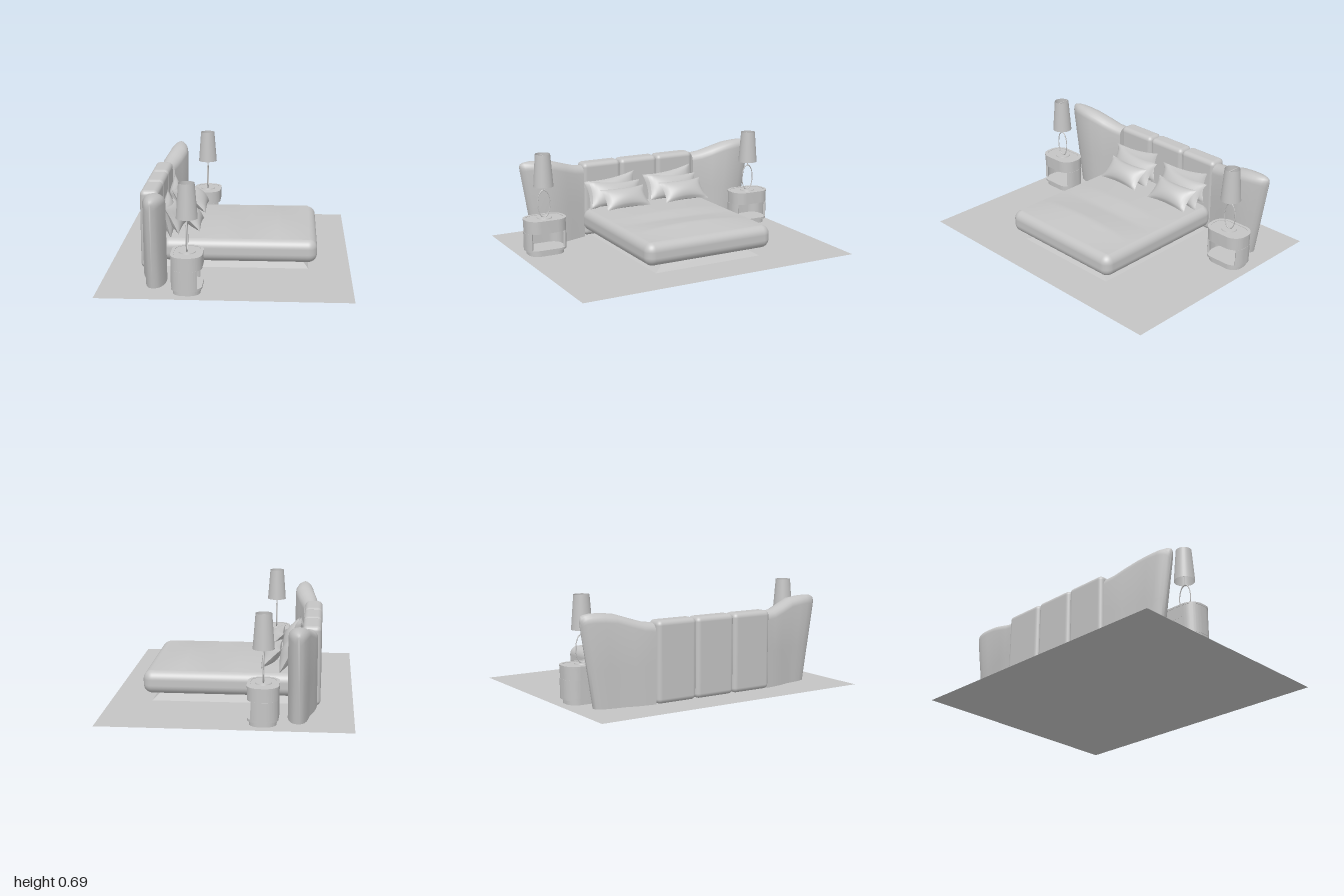
import * as THREE from 'three';
import { toCreasedNormals } from 'three/addons/utils/BufferGeometryUtils.js';
import { RoundedBoxGeometry } from 'three/addons/geometries/RoundedBoxGeometry.js';

const grey = new THREE.MeshStandardMaterial({ color: 0xc4c4c4, side: THREE.DoubleSide });
grey.name = 'plain grey';

function add(parent, name, geometry, x = 0, y = 0, z = 0) {
  const mesh = new THREE.Mesh(geometry, grey);
  mesh.name = name;
  mesh.position.set(x, y, z);
  parent.add(mesh);
  return mesh;
}

function group(parent, name, x = 0, y = 0, z = 0) {
  const g = new THREE.Group();
  g.name = name;
  g.position.set(x, y, z);
  parent.add(g);
  return g;
}

// Linear interpolation through [position, value] pairs
function lerpKeys(keys, p) {
  for (let i = 1; i < keys.length; i++) {
    const [a, va] = keys[i - 1], [b, vb] = keys[i];
    if (p <= b) return va + (vb - va) * Math.max(0, (p - a) / (b - a));
  }
  return keys[keys.length - 1][1];
}

// Skin over closed rings of equal length, with both ends capped
function loft(rings) {
  const n = rings[0].length, pos = [], idx = [];
  rings.forEach(r => r.forEach(p => pos.push(...p)));
  for (let i = 0; i < rings.length - 1; i++) {
    for (let j = 0; j < n; j++) {
      const a = i * n + j, b = i * n + (j + 1) % n;
      idx.push(a, a + n, b, b, a + n, b + n);
    }
  }
  const last = (rings.length - 1) * n;
  for (let j = 1; j < n - 1; j++) {
    idx.push(0, j, j + 1, last, last + j + 1, last + j);
  }
  const g = new THREE.BufferGeometry();
  g.setAttribute('position', new THREE.Float32BufferAttribute(pos, 3));
  g.setIndex(idx);
  return toCreasedNormals(g, 0.9);
}

// Side wing of the headboard, sweeping forward and up to a rounded tip
function wingGeometry() {
  // z, centre x, half thickness, height
  const stations = [
    [0.445, -0.507, 0.056, 0.515], [0.52, -0.495, 0.061, 0.525], [0.60, -0.478, 0.067, 0.55],
    [0.70, -0.453, 0.069, 0.583], [0.78, -0.449, 0.065, 0.592], [0.85, -0.449, 0.055, 0.595],
    [0.90, -0.45, 0.04, 0.59], [0.922, -0.451, 0.026, 0.58], [0.932, -0.452, 0.008, 0.565]];
  return loft(stations.map(([z, xc, h, top]) => {
    const ring = [];
    const put = (x, y) => ring.push([x, y, 0.445 + (z - 0.445) * (1 - 0.2 * (1 - y / 0.595))]);
    put(xc - h, 0);
    put(xc - h, 0.25);
    for (let k = 0; k <= 10; k++) {
      const a = Math.PI * (1 - k / 10);
      put(xc + h * Math.cos(a), top - 0.055 + 0.055 * Math.sin(a));
    }
    put(xc + h, 0.25);
    put(xc + h, 0);
    return ring;
  }));
}

// Cushion with pinched corners; the width runs along z and it faces +x
function pillowGeometry(halfW, halfH, depth, roll) {
  const g = new THREE.BoxGeometry(2, 2, 2, 18, 18, 1);
  const p = g.attributes.position;
  for (let i = 0; i < p.count; i++) {
    const u = p.getX(i), v = p.getY(i);
    const puff = Math.pow(Math.max(0, (1 - u * u) * (1 - v * v)), 0.6);
    p.setXYZ(i, halfW * u * (1 - 0.1 * (1 - v * v)), halfH * v * (1 - 0.16 * (1 - u * u)),
      Math.sign(p.getZ(i)) * depth * puff);
  }
  g.rotateZ(roll);
  g.rotateY(Math.PI / 2);
  g.computeVertexNormals();
  return g;
}

// Rounded rectangle in plan
function oval(target, w, d, r) {
  target.absarc(w - r, d - r, r, 0, Math.PI / 2);
  target.absarc(r - w, d - r, r, Math.PI / 2, Math.PI);
  target.absarc(r - w, r - d, r, Math.PI, Math.PI * 1.5);
  target.absarc(w - r, r - d, r, Math.PI * 1.5, Math.PI * 2);
  target.closePath();
  return target;
}

function upright(shape, y, height) {
  const g = new THREE.ExtrudeGeometry(shape, { depth: height, bevelEnabled: false, curveSegments: 10 });
  g.rotateX(-Math.PI / 2);
  g.translate(0, y, 0);
  return toCreasedNormals(g, 0.6);
}

const slab = (w, d, r, y, h) => upright(oval(new THREE.Shape(), w, d, r), y, h);

function addNightstand(parent, z) {
  const stand = group(parent, 'nightstand', -0.235, 0, z);
  add(stand, 'plinth', slab(0.085, 0.125, 0.07, 0, 0.03));
  add(stand, 'bottomShelf', slab(0.097, 0.142, 0.08, 0.03, 0.015));
  // C-shaped wall, open towards the foot of the bed
  const wall = new THREE.Shape(), q = Math.PI / 4, cx = 0.012, cz = 0.06, ro = 0.085, ri = 0.07;
  wall.absarc(cx, -cz, ro, -q, -2 * q, true);
  wall.absarc(-cx, -cz, ro, -2 * q, -4 * q, true);
  wall.absarc(-cx, cz, ro, 4 * q, 2 * q, true);
  wall.absarc(cx, cz, ro, 2 * q, q, true);
  wall.absarc(cx, cz, ri, q, 2 * q);
  wall.absarc(-cx, cz, ri, 2 * q, 4 * q);
  wall.absarc(-cx, -cz, ri, 4 * q, 6 * q);
  wall.absarc(cx, -cz, ri, -2 * q, -q);
  wall.closePath();
  add(stand, 'curvedWall', upright(wall, 0.045, 0.115));
  add(stand, 'drawer', slab(0.098, 0.143, 0.085, 0.16, 0.076));
  const rim = oval(new THREE.Shape(), 0.1, 0.146, 0.087);
  rim.holes.push(oval(new THREE.Path(), 0.08, 0.126, 0.068));
  add(stand, 'topRim', upright(rim, 0.236, 0.012));
  add(stand, 'topInset', slab(0.08, 0.126, 0.068, 0.236, 0.009));

  // Table lamp: disc, upright oval ring, stem and open tapered shade
  const lamp = group(stand, 'lamp');
  add(lamp, 'lampFoot', new THREE.CylinderGeometry(0.05, 0.052, 0.006, 32), 0, 0.248, 0);
  const ring = new THREE.TorusGeometry(0.07, 0.004, 8, 40);
  ring.rotateY(Math.PI / 2);
  ring.scale(1, 1.33, 0.64);
  ring.computeVertexNormals();
  add(lamp, 'lampRing', ring, 0, 0.343, 0);
  add(lamp, 'lampStem', new THREE.CylinderGeometry(0.004, 0.004, 0.24, 8), 0, 0.555, 0);
  add(lamp, 'lampShade', new THREE.CylinderGeometry(0.051, 0.068, 0.222, 32, 1, true), 0, 0.575, 0);
  add(lamp, 'shadeSupport', new THREE.BoxGeometry(0.1, 0.004, 0.006), 0, 0.674, 0);
}

export function createModel() {
  const model = new THREE.Group();
  model.name = 'bedroomSet';

  const floor = new THREE.PlaneGeometry(1.6, 2);
  floor.rotateX(-Math.PI / 2);
  add(model, 'rug', floor);

  const set = group(model, 'furniture', 0, 0.002, 0);

  // Headboard: three padded panels and two mirrored wings
  const head = group(set, 'headboard', 0, 0, -0.025);
  for (let i = -1; i <= 1; i++) {
    add(head, 'headboardPanel', new RoundedBoxGeometry(0.122, 0.53, 0.296, 5, 0.032), -0.524, 0.265, i * 0.296);
  }
  for (const side of [1, -1]) {
    add(head, 'headboardWing', wingGeometry()).scale.z = side;
  }

  // Bed: flared base, padded mattress and a softly peaked cover
  const bed = group(set, 'bed', 0, 0, -0.02);
  const base = new THREE.BoxGeometry(0.985, 0.065, 0.79);
  const bp = base.attributes.position;
  for (let i = 0; i < bp.count; i++) {
    if (bp.getY(i) > 0) bp.setXYZ(i, Math.min(bp.getX(i), 0.42), bp.getY(i), bp.getZ(i) * 0.72);
  }
  base.computeVertexNormals();
  add(bed, 'bedBase', base, 0.0325, 0.0325, -0.01);
  add(bed, 'mattress', new RoundedBoxGeometry(1.03, 0.156, 0.94, 6, 0.06), 0.065, 0.136, 0);
  const cover = new THREE.PlaneGeometry(0.94, 0.86, 40, 24);
  cover.rotateX(-Math.PI / 2);
  const cp = cover.attributes.position;
  const crest = [[-0.42, 0.225], [-0.03, 0.236], [0.12, 0.219], [0.32, 0.245], [0.54, 0.213]];
  for (let i = 0; i < cp.count; i++) {
    const x = cp.getX(i) + 0.06, v = cp.getZ(i) / 0.43;
    cp.setXYZ(i, x, 0.2135 + (lerpKeys(crest, x) - 0.213) * (1 - v * v), cp.getZ(i));
  }
  cover.computeVertexNormals();
  add(bed, 'bedCover', cover);

  // Pillows: two large and one small on each half of the bed
  for (const z of [0.2, -0.265]) {
    const pile = group(set, 'pillows', 0, 0, z);
    add(pile, 'backPillow', pillowGeometry(0.2, 0.105, 0.045, 0.1), -0.415, 0.325, 0.02).rotation.z = 0.25;
    add(pile, 'middlePillow', pillowGeometry(0.2, 0.1, 0.05, -0.08), -0.37, 0.31, 0.01).rotation.z = 0.5;
    add(pile, 'frontPillow', pillowGeometry(0.172, 0.09, 0.05, 0), -0.258, 0.303, -0.012).rotation.z = 0.8;
  }

  for (const z of [0.815, -0.815]) addNightstand(set, z);
  return model;
}
